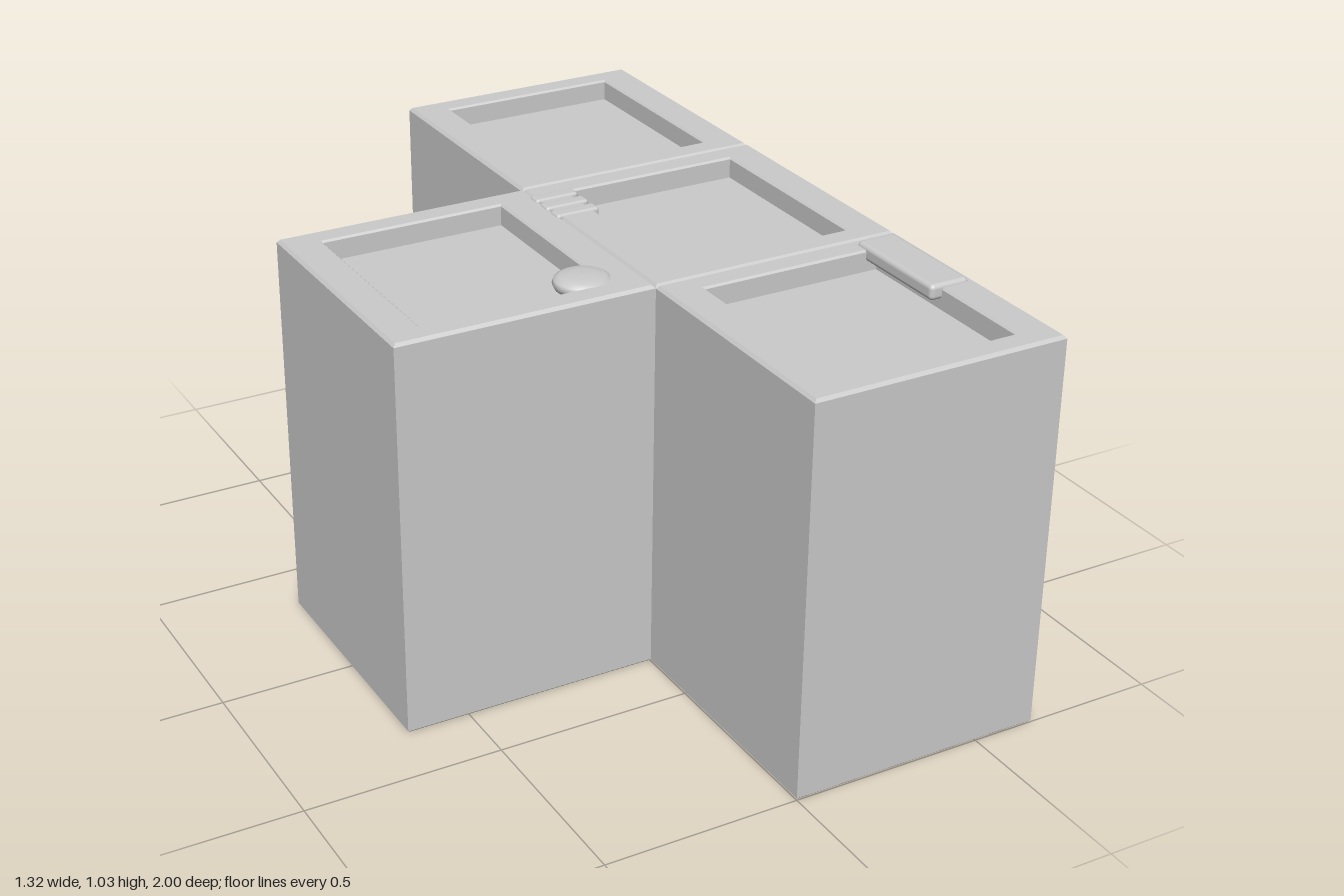
import * as THREE from 'three';
import { RoundedBoxGeometry } from 'three/addons/geometries/RoundedBoxGeometry.js';

const H = 1.02;

// Skin stacked rectangles [halfX, halfZ, y] into one closed, flat-faced solid.
function rectLoft(rings) {
  const pos = [], index = [];
  for (const [a, b, y] of rings) pos.push(-a, y, b, a, y, b, a, y, -b, -a, y, -b);
  for (let r = 0; r < rings.length - 1; r++) {
    for (let i = 0; i < 4; i++) {
      const p = r * 4 + i, q = r * 4 + (i + 1) % 4;
      index.push(p, q, q + 4, p, q + 4, p + 4);
    }
  }
  const n = (rings.length - 1) * 4;
  index.push(0, 2, 1, 0, 3, 2, n, n + 1, n + 2, n, n + 2, n + 3);
  const indexed = new THREE.BufferGeometry();
  indexed.setAttribute('position', new THREE.Float32BufferAttribute(pos, 3));
  indexed.setIndex(index);
  const geometry = indexed.toNonIndexed();
  geometry.computeVertexNormals();
  return geometry;
}

export function createModel() {
  const group = new THREE.Group();
  const material = new THREE.MeshStandardMaterial({ color: 0xcccccc });

  function add(name, geometry, x, y, z) {
    const mesh = new THREE.Mesh(geometry, material);
    mesh.name = name;
    mesh.position.set(x, y, z);
    group.add(mesh);
    return mesh;
  }

  // Tall block: bevelled edges, rim and shallow recessed tray on top
  const block = rectLoft([
    [0.326, 0.328, 0],
    [0.331, 0.333, 0.005],
    [0.331, 0.333, H - 0.008],
    [0.324, 0.326, H],
    [0.243, 0.274, H],
    [0.238, 0.269, H - 0.005],
    [0.238, 0.269, H - 0.055],
  ]);
  const blocks = {
    backBlock: [0.331, -0.667],
    centreBlock: [0.331, 0],
    frontBlock: [0.331, 0.667],
    sideBlock: [-0.331, 0],
  };
  for (const [name, [x, z]] of Object.entries(blocks)) add(name, block, x, 0, z);

  // Round button on the corner of the side block
  const profile = [
    [0, -0.02], [0.05, -0.02], [0.066, -0.013], [0.072, 0],
    [0.068, 0.01], [0.055, 0.017], [0.03, 0.02], [0, 0.021],
  ].map(([r, y]) => new THREE.Vector2(r, y));
  add('roundButton', new THREE.LatheGeometry(profile, 40), -0.125, 1.008, 0.212);

  // Three small bars bridging the side and centre blocks
  const clip = new RoundedBoxGeometry(0.118, 0.036, 0.038, 3, 0.008);
  for (let i = 0; i < 3; i++) add(`bridgeBar${i + 1}`, clip, 0.048, 1.008, -0.255 + i * 0.055);

  // Flat rounded latch on the front block
  add('latch', new RoundedBoxGeometry(0.107, 0.04, 0.305, 3, 0.012), 0.592, 1.01, 0.508);

  return group;
}
